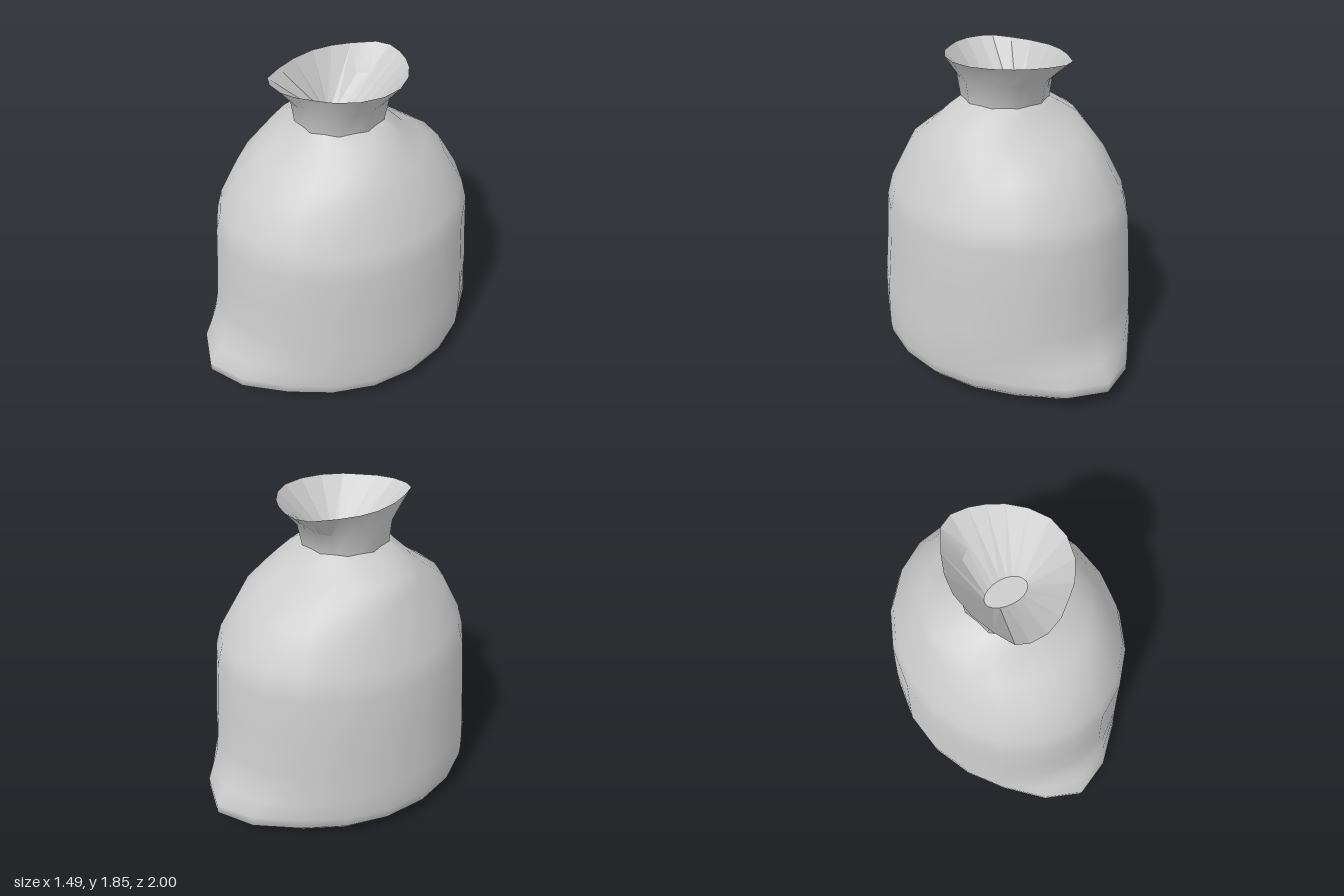
import * as THREE from 'three';

const SEG = 20;

// One cross-section: separate extents on each side, pointed ends and pleats.
function section([y, left, right, front, back, point = 0, pleat = 0]) {
  return Array.from({ length: SEG }, (_, j) => {
    const a = (j / SEG) * Math.PI * 2;
    const s = Math.sin(a), c = Math.cos(a);
    const fold = 1 + pleat * (j % 2 ? 0 : -1);
    const x = s * (s > 0 ? right : left) * fold;
    const z = (c * (c > 0 ? front : back) + point * c * Math.abs(c) ** 7) * fold;
    return [x, y, z];
  });
}

// Skin a stack of cross-sections.
function loft(name, rings, flat = false) {
  const index = [];
  for (let i = 0; i < rings.length - 1; i++) {
    for (let j = 0; j < SEG; j++) {
      const k = (j + 1) % SEG;
      const a = i * SEG + j, b = i * SEG + k;
      index.push(a, b, b + SEG, a, b + SEG, a + SEG);
    }
  }
  const geometry = new THREE.BufferGeometry();
  geometry.setAttribute('position', new THREE.Float32BufferAttribute(rings.flat(2), 3));
  geometry.setIndex(index);
  geometry.computeVertexNormals();
  const material = new THREE.MeshStandardMaterial({
    color: 0xcccccc, flatShading: flat, side: THREE.DoubleSide,
  });
  const mesh = new THREE.Mesh(geometry, material);
  mesh.name = name;
  return mesh;
}

export function createModel() {
  const group = new THREE.Group();
  group.name = 'sack';

  // Cloth body, from the centre of the base up to the tie:
  // y, left, right, front, back, point, pleat
  const tie = [1.59, 0.26, 0.25, 0.28, 0.25, 0, 0.07];
  const body = [
    [0, 0, 0, 0, 0],
    [0.045, 0.69, 0.69, 0.8, 0.8, 0.13],
    [0.095, 0.735, 0.735, 0.84, 0.84, 0.16],
    [0.155, 0.742, 0.742, 0.84, 0.84, 0.16],
    [0.25, 0.748, 0.745, 0.83, 0.84, 0.1],
    [0.34, 0.742, 0.742, 0.83, 0.84, 0.045],
    [0.45, 0.735, 0.735, 0.825, 0.845, 0.015],
    [0.7, 0.715, 0.71, 0.81, 0.83],
    [0.95, 0.695, 0.695, 0.79, 0.81],
    [1.08, 0.66, 0.66, 0.755, 0.775],
    [1.3, 0.555, 0.545, 0.64, 0.64],
    [1.4, 0.505, 0.475, 0.49, 0.49],
    [1.48, 0.46, 0.41, 0.38, 0.36, 0, 0.02],
    [1.55, 0.34, 0.33, 0.31, 0.29, 0, 0.05],
    tie,
  ];
  group.add(loft('body', body.map(section)));

  // Uneven rim of the mouth, as x, z pairs
  const rim = [
    [0, 0.40], [0.1, 0.36], [0.19, 0.29], [0.26, 0.23], [0.33, 0.12],
    [0.36, -0.01], [0.34, -0.14], [0.27, -0.25], [0.18, -0.33], [0.09, -0.38],
    [0, -0.41], [-0.1, -0.42], [-0.18, -0.38], [-0.25, -0.25], [-0.29, -0.14],
    [-0.305, -0.02], [-0.28, 0.13], [-0.23, 0.26], [-0.17, 0.37], [-0.1, 0.40],
  ].map(([x, z]) => [x, 1.85, z]);

  // Gathered neck flaring out to the rim
  const waist = section([1.72, 0.27, 0.27, 0.3, 0.28, 0, 0.03]);
  group.add(loft('neck', [section(tie), waist, rim]));

  // Creased funnel inside the mouth, closed by a small floor
  const throat = section([1.56, 0.14, 0.12, 0.075, 0.08]);
  group.add(loft('mouthFunnel', [rim, throat], true));
  group.add(loft('mouthFloor', [throat, section([1.56, 0, 0, 0, 0])]));

  return group;
}
